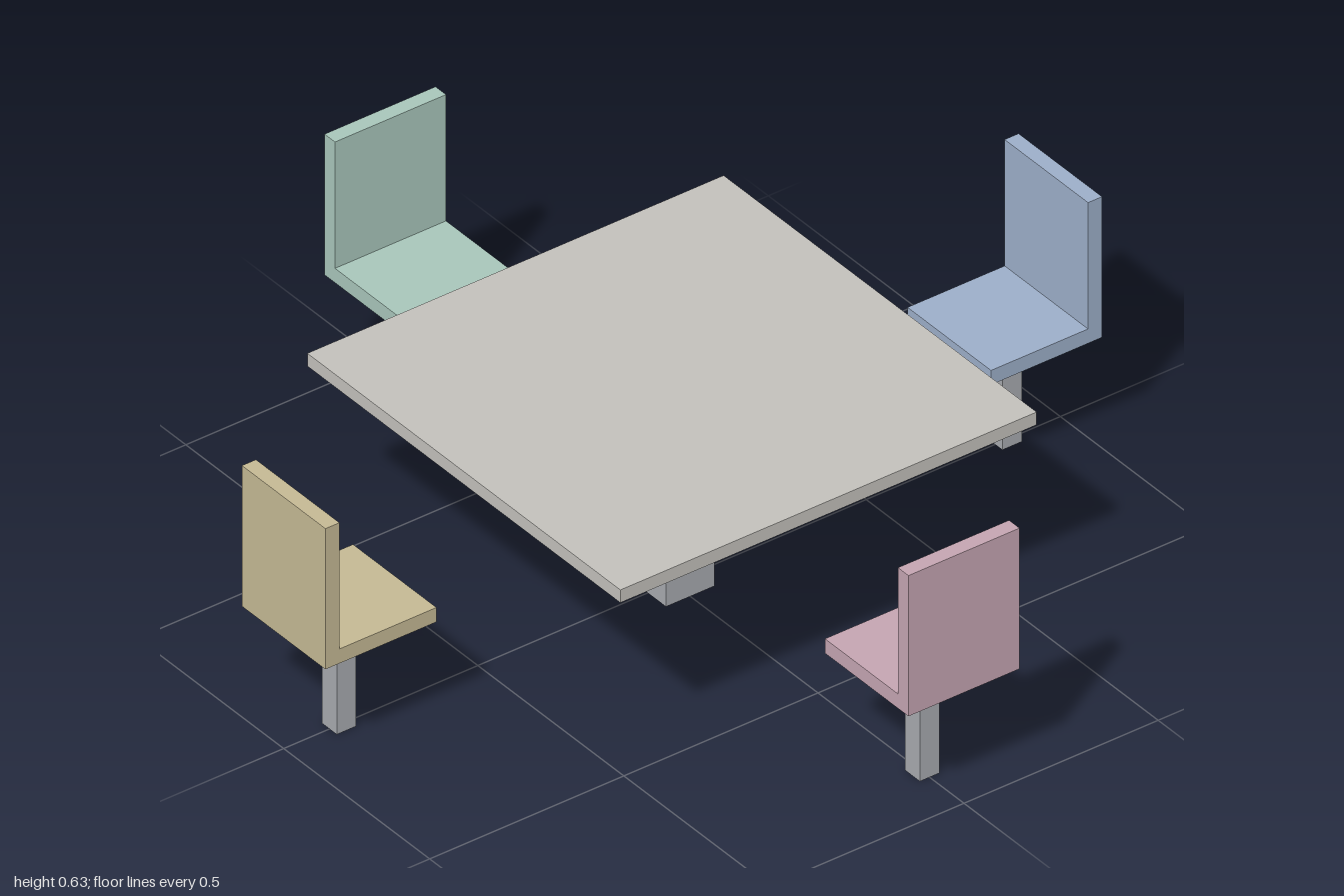
import * as THREE from 'three';

const mat = (name, color) => {
  const m = new THREE.MeshStandardMaterial({ color });
  m.name = name;
  return m;
};

// Box given by its centre in x and z and its bottom and top heights
function box(name, material, width, depth, bottom, top, x = 0, z = 0) {
  const mesh = new THREE.Mesh(new THREE.BoxGeometry(width, top - bottom, depth), material);
  mesh.name = name;
  mesh.position.set(x, (bottom + top) / 2, z);
  return mesh;
}

export function createModel() {
  const model = new THREE.Group();
  model.name = 'tableWithFourSeats';
  const metal = mat('grey metal', 0xa7aaaf);
  const stone = mat('warm grey top', 0xc3c1bc);

  // Table: thin square top on a square pedestal
  const table = new THREE.Group();
  table.name = 'table';
  table.add(
    box('tableTop', stone, 1.072, 1.072, 0.468, 0.5),
    box('tablePedestal', metal, 0.125, 0.125, 0, 0.468)
  );
  model.add(table);

  // Chairs: each built facing the table from +z, then turned into place
  const chairs = [
    ['frontChair', mat('sand yellow', 0xc5b994)],
    ['leftChair', mat('dusty pink', 0xc5a5b2)],
    ['backChair', mat('soft blue', 0x9dafc9)],
    ['rightChair', mat('sage green', 0xa8c6bb)],
  ];
  chairs.forEach(([name, paint], i) => {
    const chair = new THREE.Group();
    chair.name = name;
    chair.add(
      box('seat', paint, 0.286, 0.286, 0.277, 0.313, 0, 0.857),
      box('backrest', paint, 0.286, 0.036, 0.313, 0.629, 0, 0.982),
      box('seatPost', metal, 0.05, 0.05, 0, 0.277, 0, 0.857)
    );
    chair.rotation.y = (i * Math.PI) / 2;
    model.add(chair);
  });

  return model;
}
